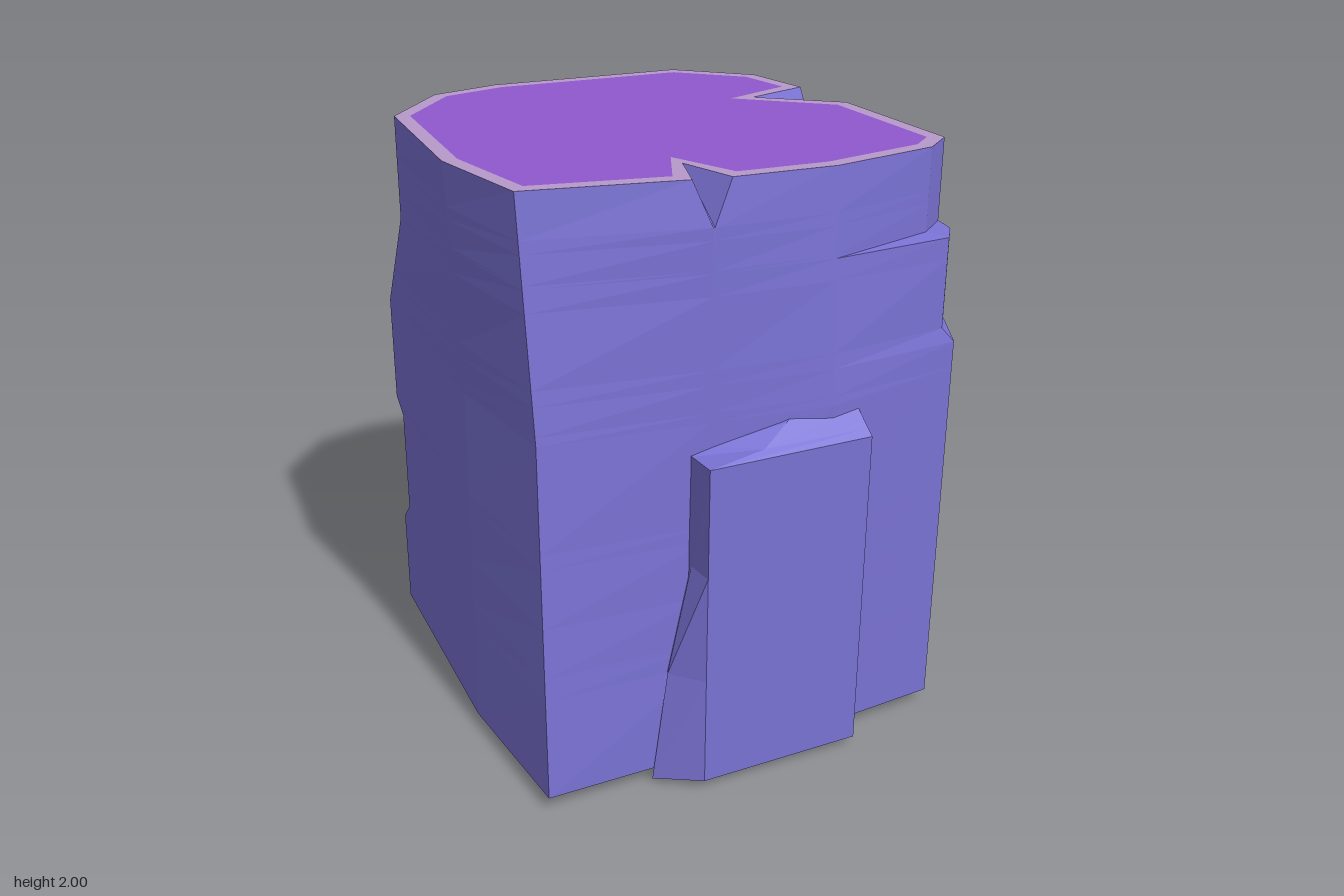
import * as THREE from 'three';

const mat = (color) => new THREE.MeshStandardMaterial({ color, flatShading: true, side: THREE.DoubleSide });
const bark = mat(0x7a72d4);
const rimWood = mat(0xb79acb);
const heartWood = mat(0x9058cf);

// Position on a column (keys [y, x, z], top to bottom) at height y
function sample(keys, y) {
  if (y >= keys[0][0]) return [keys[0][1], y, keys[0][2]];
  const i = keys.findIndex((k) => y >= k[0]);
  const [y0, x0, z0] = keys[i - 1], [y1, x1, z1] = keys[i];
  const t = (y0 - y) / (y0 - y1);
  return [x0 + (x1 - x0) * t, y, z0 + (z1 - z0) * t];
}

// Flat horizontal face from [x, z] points, facing up or down
function flat(points, y, up, hole) {
  const s = up ? -1 : 1;
  const toVec = (p) => new THREE.Vector2(p[0], s * p[1]);
  const shape = new THREE.Shape(points.map(toVec));
  if (hole) shape.holes.push(new THREE.Path(hole.map(toVec)));
  return new THREE.ShapeGeometry(shape).rotateX(s * Math.PI / 2).translate(0, y, 0);
}

// Move a clockwise outline inward by d, limiting the reach at sharp corners
function inset(points, d) {
  const vecs = points.map((p) => new THREE.Vector2(...p));
  const n = vecs.length;
  const inward = (a, b) => new THREE.Vector2(a.y - b.y, b.x - a.x).normalize();
  return vecs.map((p, i) => {
    const n0 = inward(vecs[(i + n - 1) % n], p), n1 = inward(p, vecs[(i + 1) % n]);
    const dir = n0.clone().add(n1).normalize();
    const reach = d * Math.min(1.6, 1 / dir.dot(n0));
    return [p.x + dir.x * reach, p.y + dir.y * reach];
  });
}

// Skin columns that run clockwise as seen from above, with a bottom cap
function loft(columns, capTop, adjust = (y) => y) {
  const levels = [...new Set(columns.flat().map((k) => k[0]))].sort((a, b) => a - b);
  const rings = levels.map((y) => columns.map((c) => sample(c, y)));
  const pos = [];
  for (let r = 0; r < rings.length - 1; r++) {
    const lo = rings[r], hi = rings[r + 1];
    for (let i = 0; i < columns.length; i++) {
      const j = (i + 1) % columns.length;
      pos.push(...lo[j], ...lo[i], ...hi[i], ...lo[j], ...hi[i], ...hi[j]);
    }
  }
  const addCap = (ring, up) => {
    const g = flat(ring.map((p) => [p[0], p[2]]), ring[0][1], up).toNonIndexed();
    pos.push(...g.attributes.position.array);
  };
  addCap(rings[0], false);
  if (capTop) addCap(rings[rings.length - 1], true);
  const geo = new THREE.BufferGeometry();
  geo.setAttribute('position', new THREE.Float32BufferAttribute(pos, 3));
  const p = geo.attributes.position;
  for (let i = 0; i < p.count; i++) p.setY(i, adjust(p.getY(i), p.getZ(i)));
  geo.computeVertexNormals();
  return geo;
}

// Vertical edges of the trunk, given by [x, z] points at set heights
const base = 0.05;
const column = (heights, points) => heights.map((y, i) => [y, ...points[i]]);
const plain = (top, mid, low) => column([2, 1.25, base], [top, mid, low]);
const dented = (top, low, dent) =>
  column([2, 1.65, 1.28, 0.9, 0.85, 0.47, 0.4, base], [top, top, low, low, dent, dent, low, low]);
const chamfered = (top, low, cut) => column([2, 1.65, 0.65, 0.48, base], [top, low, low, cut, cut]);
const stepped = (top, mid, low) => column([2, 1.73, 1.72, 1.42, 1.37, base], [top, top, mid, mid, low, low]);
// V-shaped split: three edges that meet on the wall at height y
const notch = (a, tip, b, y, [x, z], [dx, dz]) => [a, tip, b].map((top, i) => {
  const wall = [x + dx * (i - 1), z + dz * (i - 1)];
  return column([2, y, base], [top, wall, wall]);
});

export function createModel() {
  const group = new THREE.Group();
  const add = (name, geo, material) => {
    const m = new THREE.Mesh(geo, material);
    m.name = name;
    group.add(m);
  };

  // Trunk, clockwise from the back corner on the -x side
  const backCorners = [
    dented([-0.72, -0.44], [-0.71, -0.68], [-0.71, -0.61]),
    dented([-0.49, -0.71], [-0.7, -0.69], [-0.63, -0.7]),
    plain([-0.24, -0.78], [-0.24, -0.72], [-0.24, -0.75]),
    chamfered([0.47, -0.76], [0.73, -0.745], [0.57, -0.75]),
    chamfered([0.7, -0.54], [0.735, -0.735], [0.74, -0.57]),
  ];
  const sideNotch = notch([0.74, -0.27], [0.5, -0.19], [0.75, 0.02], 1.82, [0.743, -0.16], [0, 0.005]);
  const frontCorner = [
    stepped([0.75, 0.59], [0.755, 0.65], [0.74, 0.735]),
    stepped([0.64, 0.68], [0.69, 0.735], [0.735, 0.743]),
    plain([0.26, 0.75], [0.26, 0.79], [0.26, 0.775]),
  ];
  const frontNotch = notch([-0.08, 0.73], [-0.14, 0.53], [-0.2, 0.71], 1.86, [-0.14, 0.74], [-0.005, 0]);
  const farSide = [
    plain([-0.7, 0.61], [-0.685, 0.68], [-0.7, 0.74]),
    plain([-0.77, 0.2], [-0.735, 0.2], [-0.745, 0.2]),
  ];
  const trunk = [...backCorners, ...sideNotch, ...frontCorner, ...frontNotch, ...farSide];
  add('trunkBark', loft(trunk, false), bark);

  // Cut top: pale rim around the heartwood
  const outer = trunk.map((c) => [c[0][1], c[0][2]]);
  const inner = inset(outer, 0.05);
  add('barkRim', flat(outer, 2, true, inner), rimWood);
  add('cutTop', flat(inner, 2, true), heartWood);

  // Bark slabs: the hidden edges repeat the outer ones inside the trunk
  const buried = (keys, z) => keys.map(([y, x]) => [y, x, z]);

  // Front slab, its underside sloping down inward
  const frontRight = [[1.24, 0.18, 0.76], [1.22, 0.36, 0.78], [1.15, 0.37, 0.85], [0.03, 0.37, 0.85]];
  const frontLeft = [[1.24, 0.14, 0.76], [1.17, 0, 0.825], [1.15, -0.2, 0.85], [0.03, -0.2, 0.85]];
  const frontFlare = [[1.24, 0.135, 0.73], [1.15, -0.205, 0.74], [0.78, -0.21, 0.755], [0.41, -0.29, 0.755],
    [0.03, -0.34, 0.75]];
  const frontSlab = [buried(frontLeft, 0.59), buried(frontRight, 0.59), frontRight, frontLeft, frontFlare];
  const slopeUnderside = (y, z) => (y < 0.04 ? 0.03 - (0.85 - z) * 0.115 : y);
  add('frontBarkSlab', loft(frontSlab, true, slopeUnderside), bark);

  // Back slab, stepping out low on one side
  const backStep = [[1.28, 0.03, -0.72], [1.02, -0.25, -0.72], [0.73, -0.27, -0.73], [0.39, -0.5, -0.73],
    [0.03, -0.5, -0.74]];
  const backLeft = [[1.28, 0.05, -0.75], [1.02, -0.2, -0.83], [0.73, -0.22, -0.84], [0.36, -0.4, -0.83],
    [0.03, -0.4, -0.83]];
  const backRight = [[1.28, 0.2, -0.75], [1.12, 0.34, -0.83], [0.65, 0.36, -0.85], [0.03, 0.36, -0.85]];
  const backSlab = [backStep, backLeft, backRight, buried(backRight, -0.62), buried(backLeft, -0.62)];
  add('backBarkSlab', loft(backSlab, true), bark);

  return group;
}
